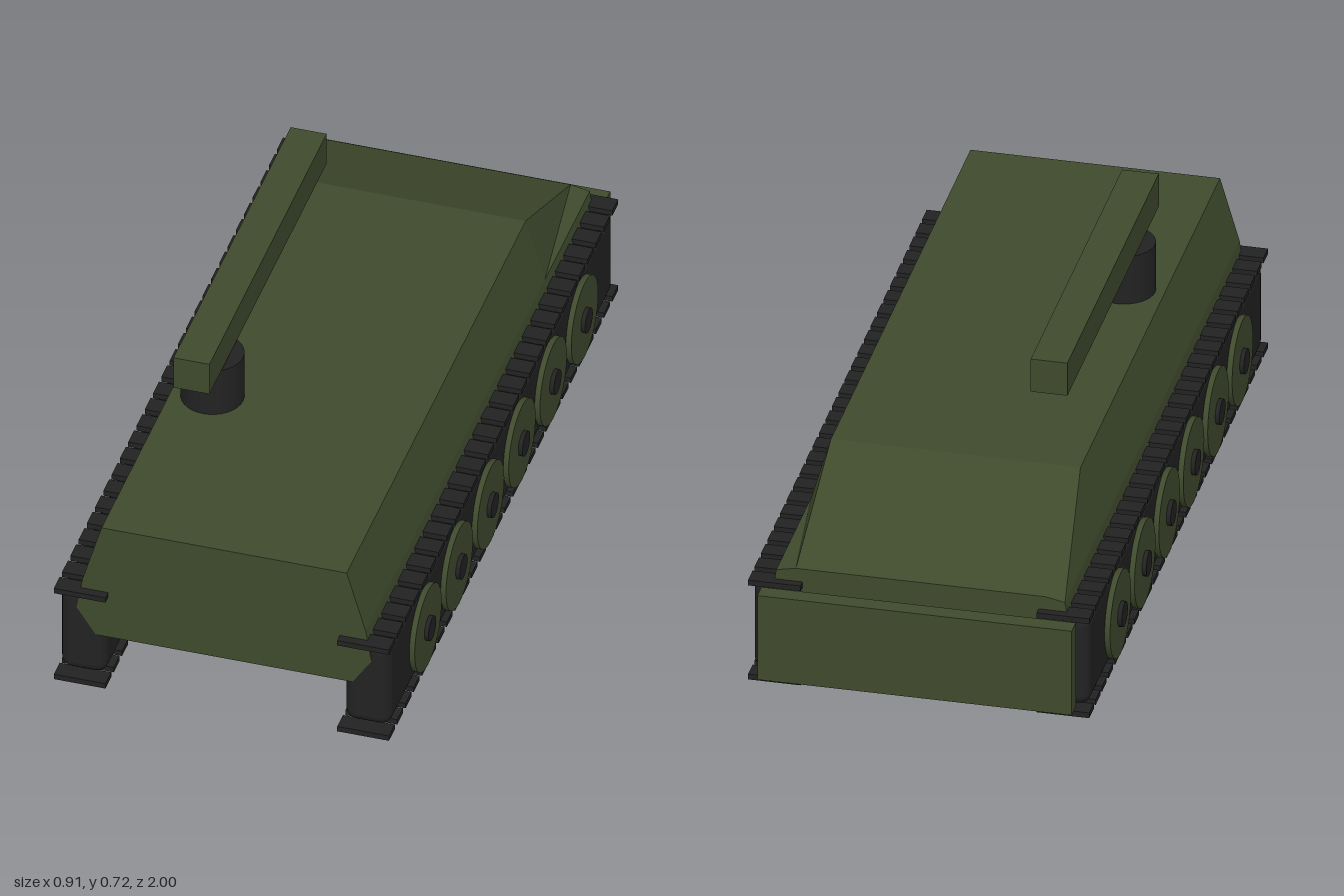
import * as THREE from 'three';
import { RoundedBoxGeometry } from 'three/addons/geometries/RoundedBoxGeometry.js';

// Faceted body from matching cross-sections, ordered front to back, corners counter-clockwise
function loft(sections) {
  const pos = [];
  const tri = (...pts) => pts.forEach((p) => pos.push(...p));
  for (let s = 0; s < sections.length - 1; s++) {
    const a = sections[s], b = sections[s + 1];
    for (let i = 0; i < a.length; i++) {
      const j = (i + 1) % a.length;
      tri(a[i], b[i], b[j]);
      tri(a[i], b[j], a[j]);
    }
  }
  const first = sections[0], last = sections[sections.length - 1];
  for (let i = 1; i < first.length - 1; i++) {
    tri(first[0], first[i], first[i + 1]);
    tri(last[0], last[i + 1], last[i]);
  }
  const geo = new THREE.BufferGeometry();
  geo.setAttribute('position', new THREE.Float32BufferAttribute(pos, 3));
  geo.computeVertexNormals();
  return geo;
}

export function createModel() {
  const model = new THREE.Group();
  model.name = 'trackedVehicle';
  const green = new THREE.MeshStandardMaterial({ color: 0x3f4a2d });
  green.name = 'olive green';
  const black = new THREE.MeshStandardMaterial({ color: 0x222222 });
  black.name = 'track black';

  function add(parent, name, geo, mat, x = 0, y = 0, z = 0) {
    const mesh = new THREE.Mesh(geo, mat);
    mesh.name = name;
    mesh.position.set(x, y, z);
    parent.add(mesh);
    return mesh;
  }

  // Hull: sloping sides, flat roof, slope down at the back
  const section = (z, topY) => {
    const half = [[0.335, 0.145], [0.385, 0.22], [0.37, 0.31], [0.32, topY]];
    const right = half.map(([x, y]) => [x, y, z]);
    const left = half.map(([x, y]) => [-x, y, z]).reverse();
    return [...right, ...left];
  };
  add(model, 'hull', loft([section(0.977, 0.482), section(-0.55, 0.482), section(-0.933, 0.32)]), green);

  // Upright plate behind the hull
  add(model, 'rearPlate', new THREE.BoxGeometry(0.806, 0.24, 0.045), green, 0, 0.148, -0.9775);

  // Gun on a round mount
  add(model, 'gunMount', new THREE.CylinderGeometry(0.08, 0.08, 0.137, 32), black, -0.216, 0.549, 0.37);
  add(model, 'gunBarrel', new THREE.BoxGeometry(0.094, 0.093, 1), green, -0.216, 0.672, 0.05);

  // Tracks, pads and wheels on both sides
  const beltGeo = new RoundedBoxGeometry(0.12, 0.252, 1.91, 4, 0.03);
  const padGeo = new THREE.BoxGeometry(0.135, 0.015, 0.05);
  const wheelGeo = new THREE.CylinderGeometry(0.115, 0.115, 0.04, 32).rotateZ(Math.PI / 2);
  const hubGeo = new THREE.CylinderGeometry(0.033, 0.033, 0.04, 24).rotateZ(Math.PI / 2);
  const padCount = 28;
  for (const [side, label] of [[1, 'left'], [-1, 'right']]) {
    const track = new THREE.Group();
    track.name = label + 'Track';
    model.add(track);
    add(track, 'trackBelt', beltGeo, black, side * 0.371, 0.143, 0.02);
    for (let i = 0; i < padCount; i++) {
      const z = 0.975 - (i * 1.905) / (padCount - 1);
      add(track, 'lowerPad', padGeo, black, side * 0.37, 0.0075, z);
      add(track, 'upperPad', padGeo, black, side * 0.37, 0.276, z);
    }
    for (let i = 0; i < 6; i++) {
      const z = 0.69 - i * 0.267;
      add(track, 'roadWheel', wheelGeo, green, side * 0.425, 0.132, z);
      add(track, 'wheelHub', hubGeo, black, side * 0.436, 0.132, z);
    }
  }
  return model;
}
